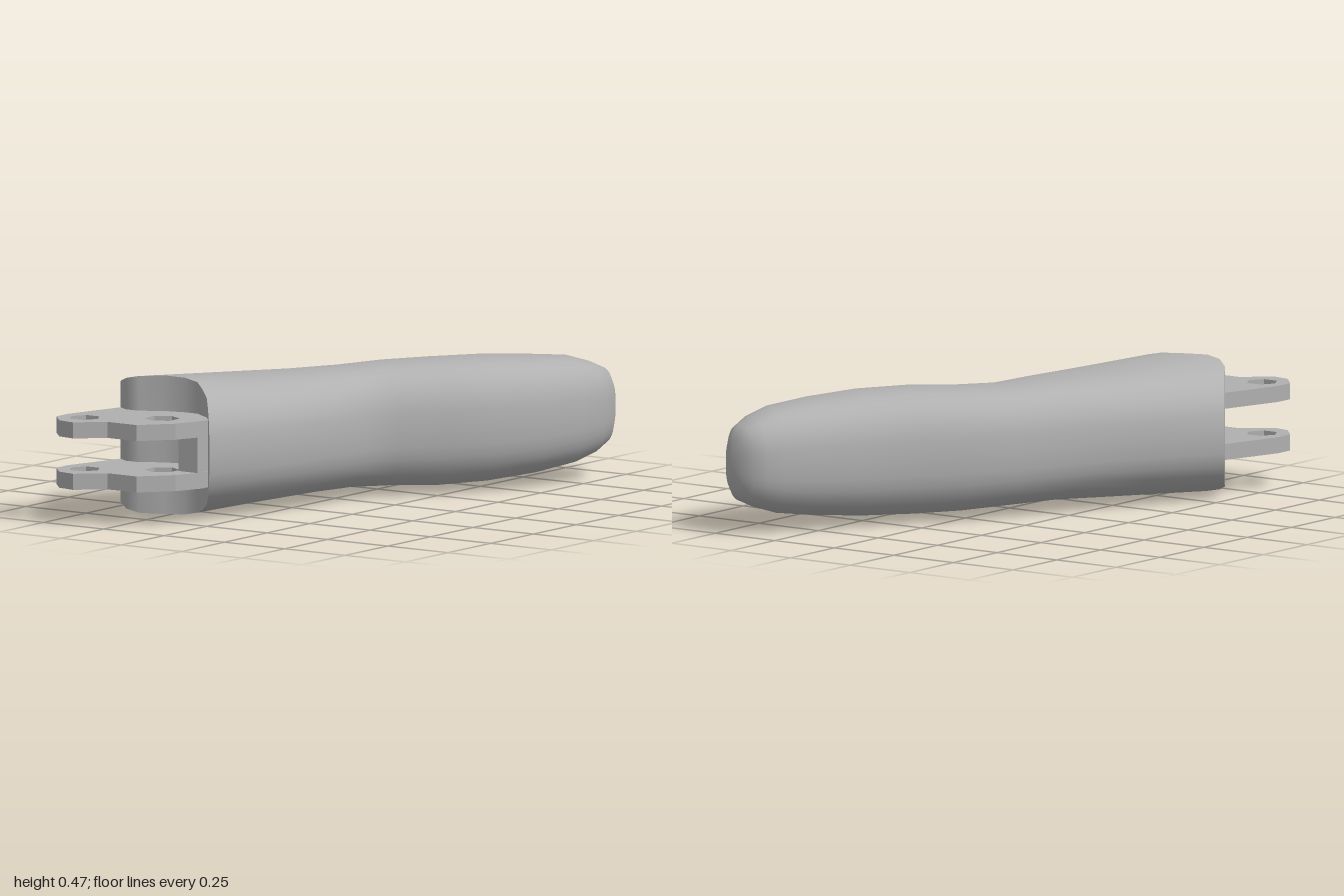
import * as THREE from 'three';

const SEG = 32;      // points around each cross-section
const POWER = 2.6;   // rounded-square fullness of the sections

// left x, left z, right x, right z, bottom y, top y
const STATIONS = [
  [-0.535, 0.50, -0.01, 0.72, 0.005, 0.48],
  [-0.41, 0.25, 0.08, 0.40, 0.025, 0.46],
  [-0.29, 0.02, 0.13, 0.17, 0.035, 0.45],
  [-0.19, -0.19, 0.14, 0.01, 0.035, 0.445],
  [-0.10, -0.36, 0.19, -0.10, 0.03, 0.45],
  [0.00, -0.48, 0.31, -0.23, 0.025, 0.455],
  [0.10, -0.64, 0.41, -0.38, 0.03, 0.453],
  [0.20, -0.80, 0.485, -0.55, 0.045, 0.44],
  [0.27, -0.91, 0.525, -0.72, 0.065, 0.425],
  [0.31, -0.96, 0.532, -0.83, 0.09, 0.40],
  [0.345, -0.985, 0.51, -0.92, 0.115, 0.375],
  [0.39, -0.998, 0.48, -0.967, 0.155, 0.335],
];

// scalloped front edge as seen from above: x, z
const FRONT_EDGE = [[-0.535, 0.5], [-0.42, 0.66], [-0.35, 0.66], [-0.25, 0.6],
  [-0.15, 0.595], [-0.07, 0.65], [-0.01, 0.72]];

function frontZ(x) {
  for (let i = 1; i < FRONT_EDGE.length; i++) {
    const [x0, z0] = FRONT_EDGE[i - 1], [x1, z1] = FRONT_EDGE[i];
    if (x <= x1) return z0 + (z1 - z0) * (x - x0) / (x1 - x0);
  }
  return 0.72;
}

const soft = (v) => Math.sign(v) * Math.abs(v) ** (2 / POWER);

function ring([ax, az, bx, bz, low, high], isFront) {
  const points = [];
  for (let k = 0; k < SEG; k++) {
    const t = (k / SEG) * Math.PI * 2;
    const u = (soft(Math.cos(t)) + 1) / 2, v = (soft(Math.sin(t)) + 1) / 2;
    const x = ax + (bx - ax) * u;
    points.push([x, low + (high - low) * v, isFront ? frontZ(x) : az + (bz - az) * u]);
  }
  return points;
}

function surface(points, index) {
  const g = new THREE.BufferGeometry();
  g.setAttribute('position', new THREE.Float32BufferAttribute(points.flat(), 3));
  g.setIndex(index);
  g.computeVertexNormals();
  return g;
}

// bent, rounded skin closed at the tip
function bodyGeometry() {
  const points = STATIONS.flatMap((s, i) => ring(s, i === 0));
  const index = [];
  for (let s = 0; s < STATIONS.length - 1; s++) {
    for (let k = 0; k < SEG; k++) {
      const a = s * SEG + k, b = s * SEG + (k + 1) % SEG;
      index.push(a, a + SEG, b, b, a + SEG, b + SEG);
    }
  }
  const last = (STATIONS.length - 1) * SEG;
  points.push([0.44, 0.245, -0.99]);
  for (let k = 0; k < SEG; k++) index.push(last + k, points.length - 1, last + (k + 1) % SEG);
  return surface(points, index);
}

// upright scalloped wall closing the front
function frontWallGeometry() {
  const points = ring(STATIONS[0], true), index = [];
  for (let k = 0; k < SEG / 2; k++) {
    const low = (SEG - k) % SEG, lowNext = SEG - k - 1;
    if (k > 0) index.push(k, k + 1, low);
    if (k < SEG / 2 - 1) index.push(k + 1, lowNext, low);
    if (k === 0) index.push(0, 1, SEG - 1);
  }
  // the first column is a single triangle
  return surface(points, index.slice(3));
}

// flat hinge plate with two six-sided holes
function plateGeometry(thickness) {
  const outline = [[-0.42, 0.55], [-0.445, 0.65], [-0.503, 0.85], [-0.503, 0.92], [-0.445, 0.985],
    [-0.38, 0.997], [-0.29, 0.92], [-0.17, 0.92], [-0.08, 0.82], [-0.04, 0.72], [-0.04, 0.68], [-0.1, 0.55]];
  const shape = new THREE.Shape(outline.map(([x, z]) => new THREE.Vector2(x, z)));
  for (const [x, z, r, turn] of [[-0.41, 0.885, 0.055, 0], [-0.185, 0.75, 0.06, 0.5]]) {
    const hole = [];
    for (let i = 0; i < 6; i++) {
      const t = turn + i * Math.PI / 3;
      hole.push(new THREE.Vector2(x + r * Math.cos(t), z + r * Math.sin(t)));
    }
    shape.holes.push(new THREE.Path(hole));
  }
  return new THREE.ExtrudeGeometry(shape, { depth: thickness, bevelEnabled: false }).rotateX(Math.PI / 2);
}

export function createModel() {
  const group = new THREE.Group();
  const grey = new THREE.MeshStandardMaterial({ color: 0xb0b0b0 });
  grey.name = 'grey';
  const add = (name, geometry, x = 0, y = 0, z = 0) => {
    const mesh = new THREE.Mesh(geometry, grey);
    mesh.name = name;
    mesh.position.set(x, y, z);
    group.add(mesh);
  };

  add('body', bodyGeometry());
  add('frontWall', frontWallGeometry());
  add('upperHingePlate', plateGeometry(0.055), 0, 0.358);
  add('lowerHingePlate', plateGeometry(0.055), 0, 0.182);
  // stop block between the hinge plates
  add('hingeStop', new THREE.BoxGeometry(0.08, 0.122, 0.17), -0.085, 0.243, 0.655);
  return group;
}
